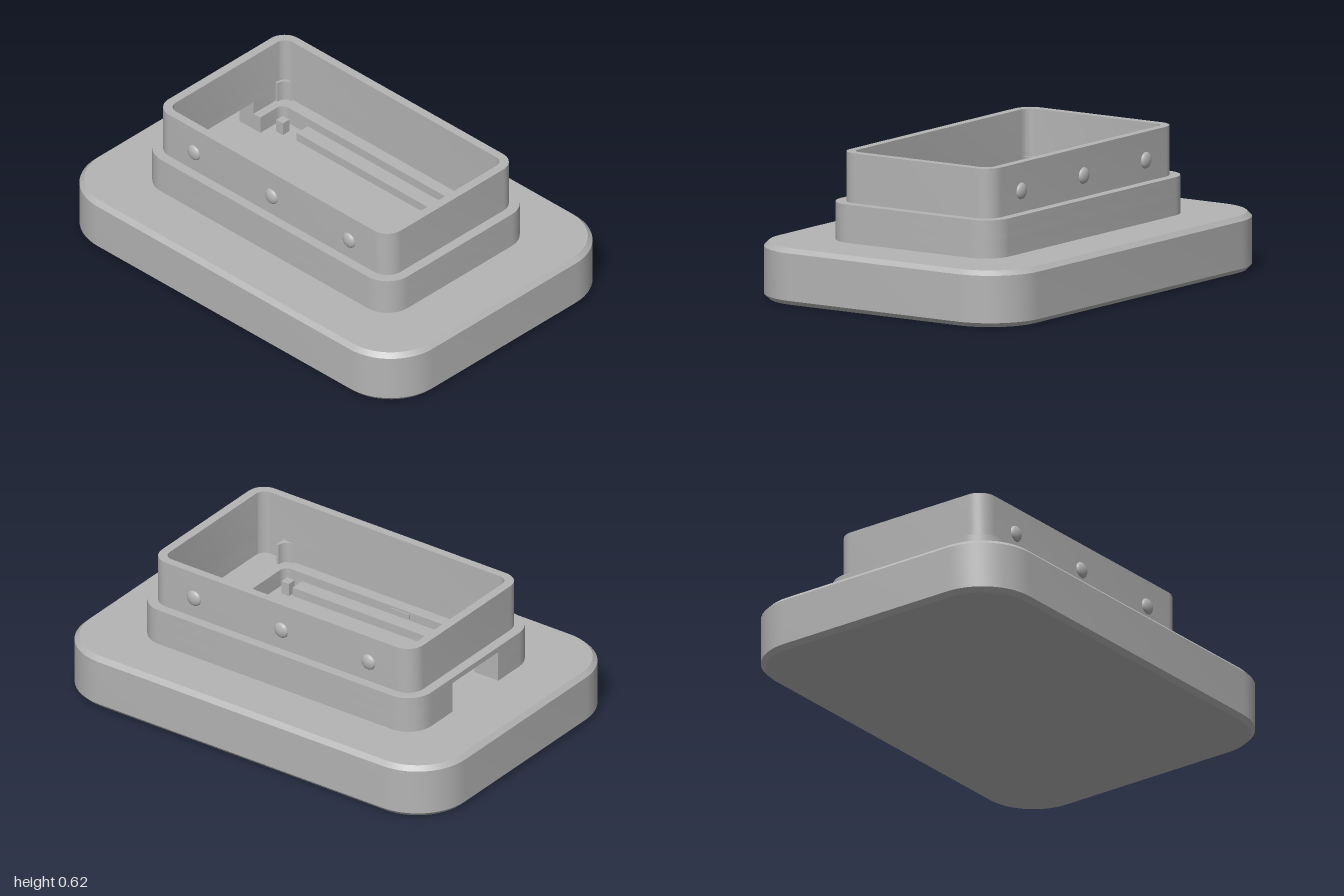
import * as THREE from 'three';
import { toCreasedNormals } from 'three/addons/utils/BufferGeometryUtils.js';

const grey = new THREE.MeshStandardMaterial({ color: 0xb4b4b4 });
grey.name = 'plain grey';

// Rounded rectangle as points, counter-clockwise, starting on the -x side.
function roundedPoints(x0, x1, z, r, seg = 10) {
  const pts = [];
  const corners = [[x0 + r, -z + r], [x1 - r, -z + r], [x1 - r, z - r], [x0 + r, z - r]];
  corners.forEach(([cx, cy], i) => {
    for (let k = 0; k <= seg; k++) {
      const a = Math.PI + (i + k / seg) * Math.PI / 2;
      pts.push(new THREE.Vector2(cx + r * Math.cos(a), cy + r * Math.sin(a)));
    }
  });
  return pts;
}

// Extrude a plan shape upwards from y0 to y1.
function slab(name, shape, y0, y1, chamfer = 0) {
  const geo = new THREE.ExtrudeGeometry(shape, {
    depth: y1 - y0 - 2 * chamfer, bevelEnabled: chamfer > 0,
    bevelSize: chamfer, bevelThickness: chamfer, bevelSegments: 1,
  });
  geo.rotateX(-Math.PI / 2);
  geo.translate(0, y0 + chamfer, 0);
  const mesh = new THREE.Mesh(toCreasedNormals(geo, 0.5), grey);
  mesh.name = name;
  return mesh;
}

// Closed wall ring.
function ring(outer, inner) {
  const shape = new THREE.Shape(outer);
  shape.holes.push(new THREE.Path(inner));
  return shape;
}

// Wall ring with a port opening through its -x side.
function openRing(outer, inner, halfGap) {
  const v = (p, s) => new THREE.Vector2(p[0].x, s * halfGap);
  return new THREE.Shape([
    v(outer, -1), ...outer, v(outer, 1),
    v(inner, 1), ...inner.slice().reverse(), v(inner, -1),
  ]);
}

function box(name, w, h, d, x, y, z) {
  const mesh = new THREE.Mesh(new THREE.BoxGeometry(w, h, d), grey);
  mesh.position.set(x, y + h / 2, z);
  mesh.name = name;
  return mesh;
}

export function createModel() {
  const model = new THREE.Group();
  model.name = 'steppedEnclosure';

  const floorY = 0.245, ledgeY = 0.325, portTop = 0.385, tierTop = 0.41, rimY = 0.625;
  const tier = roundedPoints(-0.735, 0.735, 0.437, 0.12);
  const collar = roundedPoints(-0.69, 0.69, 0.393, 0.08);
  const cavity = roundedPoints(-0.65, 0.65, 0.355, 0.045);
  const pocket = roundedPoints(-0.61, 0.49, 0.3, 0.035);

  // Chamfered base plate
  model.add(slab('basePlate', new THREE.Shape(roundedPoints(-0.98, 0.98, 0.666, 0.23, 14)), 0, floorY, 0.02));

  // Middle tier: inner ledge, port opening and closed top band
  model.add(slab('innerLedge', openRing(tier, pocket, 0.165), floorY, ledgeY));
  model.add(slab('tierWall', openRing(tier, cavity, 0.165), ledgeY, portTop));
  model.add(slab('tierTopBand', ring(tier, cavity), portTop, tierTop));

  // Upper collar
  model.add(slab('collar', ring(collar, cavity), tierTop, rimY));

  for (const s of [-1, 1]) {
    // Snap bumps on the long sides
    for (const x of [-0.46, 0, 0.46]) {
      const bump = new THREE.Mesh(new THREE.SphereGeometry(0.036, 24, 16), grey);
      bump.scale.z = 0.5;
      bump.position.set(x, 0.502, s * 0.392);
      bump.name = 'snapBump';
      model.add(bump);
    }

    // Support rails and pegs in the pocket
    model.add(box('supportRail', 0.86, 0.04, 0.07, -0.03, floorY, s * 0.267));
    for (const x of [-0.55, 0.43]) model.add(box('peg', 0.04, 0.06, 0.04, x, floorY, s * 0.24));

    // Corner brackets standing on the ledge
    for (const [x, dir] of [[-0.65, 1], [0.535, -1]]) {
      const bracket = new THREE.Shape();
      bracket.moveTo(x, s * 0.355);
      bracket.lineTo(x + dir * 0.055, s * 0.345);
      bracket.quadraticCurveTo(x + dir * 0.012, s * 0.343, x + dir * 0.01, s * 0.3);
      bracket.lineTo(x, s * 0.3);
      model.add(slab('cornerBracket', bracket, ledgeY, 0.42));
    }
  }

  // Small clip on the front pocket wall
  model.add(box('clip', 0.1, 0.02, 0.01, -0.12, 0.295, 0.3));

  return model;
}
